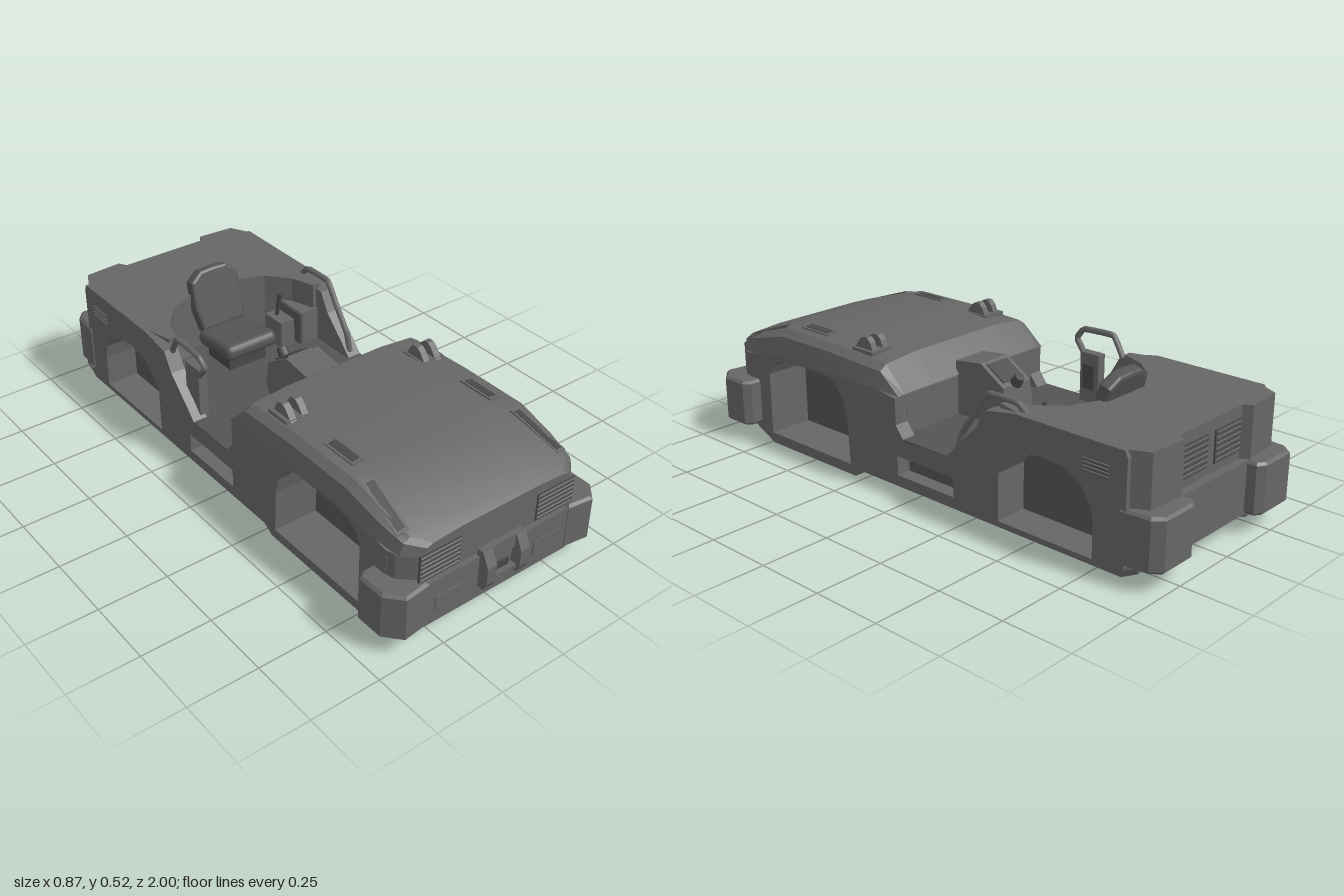
import * as THREE from 'three';
import { toCreasedNormals } from 'three/addons/utils/BufferGeometryUtils.js';
import { RoundedBoxGeometry } from 'three/addons/geometries/RoundedBoxGeometry.js';

const mat = (name, color) => Object.assign(new THREE.MeshStandardMaterial({ color }), { name });

export function createModel() {
  const model = new THREE.Group();
  model.name = 'towTractorBody';
  const paint = mat('bodyGrey', 0x666666);
  const dark = mat('recessGrey', 0x484848);
  const floorGrey = mat('floorGrey', 0x545454);
  paint.side = THREE.DoubleSide;

  // ---- helpers ----
  const add = (name, geo, m = paint) => {
    const mesh = new THREE.Mesh(geo, m);
    mesh.name = name;
    model.add(mesh);
  };
  const mirrored = (geo) => {
    const g = geo.index ? geo.toNonIndexed() : geo.clone();
    g.scale(-1, 1, 1);
    for (const a of Object.values(g.attributes)) {
      const n = a.itemSize;
      for (let i = 0; i < a.count; i += 3) {
        for (let k = 0; k < n; k++) {
          const p = (i + 1) * n + k, q = (i + 2) * n + k, t = a.array[p];
          a.array[p] = a.array[q];
          a.array[q] = t;
        }
      }
    }
    return g;
  };
  const both = (name, geo, m) => {
    add(name + 'Left', geo, m);
    add(name + 'Right', mirrored(geo), m);
  };
  const place = (geo, x, y, z, rx = 0, ry = 0, rz = 0) => geo.applyMatrix4(new THREE.Matrix4()
    .makeRotationFromEuler(new THREE.Euler(rx, ry, rz)).setPosition(x, y, z));
  // box given by its limits
  const box = (x0, x1, y0, y1, z0, z1) => new THREE.BoxGeometry(x1 - x0, y1 - y0, z1 - z0)
    .translate((x0 + x1) / 2, (y0 + y1) / 2, (z0 + z1) / 2);
  const vecs = (pts) => pts.map(([a, b]) => new THREE.Vector2(a, b));
  // side outline in (z, y), extruded from x0 to x1
  const side = (pts, x0, x1, holes = []) => {
    const s = new THREE.Shape(vecs(pts));
    s.holes = holes.map((h) => new THREE.Path(vecs(h)));
    return new THREE.ExtrudeGeometry(s, { depth: x1 - x0, bevelEnabled: false })
      .rotateY(-Math.PI / 2).translate(x1, 0, 0);
  };
  // plan outline in (x, z), extruded from y0 to y1 with an optional bevel
  const plan = (pts, y0, y1, b = 0) => new THREE.ExtrudeGeometry(
    new THREE.Shape(vecs(pts.map(([x, z]) => [x, -z]))),
    { depth: y1 - y0 - 2 * b, bevelEnabled: b > 0, bevelSize: b, bevelThickness: b, bevelOffset: -b, bevelSegments: 1 })
    .rotateX(-Math.PI / 2).translate(0, y0 + b, 0);
  const whole = (half) => [...half, ...half.filter(([x]) => x > 0).reverse().map(([x, z]) => [-x, z])];
  // slatted grille facing +z, centred on the origin
  const grille = (w, h, n) => [
    [new THREE.BoxGeometry(w, h, 0.006), dark],
    ...Array.from({ length: n }, (_, i) => [place(new THREE.BoxGeometry(w * 0.97, h / n * 0.6, 0.008),
      0, h * ((i + 0.5) / n - 0.5), 0.002, 0.35), paint]),
  ];

  // ---- side panels with wheel arches and step slot ----
  const frontArch = [[0.74, 0.04], [0.74, 0.27], [0.72, 0.305], [0.68, 0.33], [0.61, 0.342], [0.43, 0.342],
    [0.38, 0.325], [0.335, 0.265], [0.318, 0.2], [0.31, 0.04]];
  const rearArch = [[-0.385, 0.05], [-0.385, 0.215], [-0.42, 0.27], [-0.47, 0.305], [-0.55, 0.322], [-0.64, 0.315],
    [-0.71, 0.28], [-0.75, 0.225], [-0.762, 0.17], [-0.762, 0.05]];
  const slot = [[0.07, 0.07], [0.07, 0.14], [-0.19, 0.14], [-0.19, 0.07]];
  both('sidePanel', side([[0.86, 0.06], [0.74, 0.005], [0.29, 0.005], [0.25, 0.03], [-0.87, 0.03], [-0.88, 0.06],
    [-0.88, 0.41], [-0.87, 0.431], [-0.45, 0.431], [-0.33, 0.41], [-0.29, 0.34], [-0.2, 0.25], [-0.16, 0.205],
    [0.04, 0.205], [0.075, 0.25], [0.075, 0.345], [0.14, 0.36], [0.66, 0.36], [0.76, 0.345], [0.86, 0.325]],
  0.315, 0.369, [frontArch, rearArch, slot]));
  both('frontWheelWell', side([[0.86, 0.06], [0.74, 0.02], [0.29, 0.02], [0.08, 0.03], [0.08, 0.345], [0.76, 0.345], [0.86, 0.32]],
    0.2, 0.315, [frontArch]));
  both('rearWheelWell', side([[-0.35, 0.04], [-0.35, 0.335], [-0.8, 0.335], [-0.8, 0.04]], 0.24, 0.315, [rearArch]));
  both('rearWellBack', box(0.235, 0.246, 0.04, 0.33, -0.78, -0.35), floorGrey);

  // ---- underside, floor and inner hull ----
  add('underTray', side([[0.93, 0.065], [0.86, 0.06], [0.74, 0], [0.29, 0], [0.25, 0.028], [-0.87, 0.028], [-0.93, 0.06],
    [-0.93, 0.08], [-0.87, 0.048], [0.25, 0.048], [0.3, 0.038], [0.74, 0.038], [0.86, 0.08], [0.93, 0.08]], -0.366, 0.366));
  add('frontHull', box(-0.202, 0.202, 0.03, 0.34, 0.085, 0.745), floorGrey);
  add('firewall', box(-0.314, 0.314, 0.2, 0.345, 0.075, 0.09));
  add('cockpitFloor', box(-0.314, 0.314, 0.04, 0.204, -0.35, 0.085), floorGrey);
  add('doorSill', box(-0.369, 0.369, 0.2, 0.208, -0.16, 0.04), floorGrey);
  add('seatFloor', box(-0.236, 0.236, 0.04, 0.204, -0.6, -0.34), floorGrey);
  const arc = [[0, -0.58], [0.1, -0.57], [0.2, -0.53]];
  add('rearHull', plan(whole([...arc, [0.24, -0.49], [0.24, -0.8], [0, -0.8]]), 0.04, 0.34));
  const tail = [[0.358, -0.87], [0.325, -0.935], [0.185, -0.945], [0.168, -0.915], [0, -0.915]];
  add('rearDeck', plan(whole([...arc, [0.27, -0.45], [0.3, -0.36], [0.33, -0.36], [0.355, -0.45], ...tail]), 0.335, 0.431));
  add('rearBlock', plan(whole([[0, -0.77], [0.36, -0.77], ...tail]), 0.05, 0.34));

  // ---- nose and hood ----
  add('nose', plan(whole([[0, 0.74], [0.2, 0.74], [0.2, 0.85], [0.369, 0.85], [0.36, 0.89], [0.3, 0.945], [0, 0.945]]), 0.065, 0.325));
  const stations = [[0.945, 0.3, 0.322, 0.367], [0.9, 0.355, 0.322, 0.388], [0.8, 0.37, 0.335, 0.423], [0.66, 0.376, 0.36, 0.466],
    [0.4, 0.376, 0.36, 0.467], [0.15, 0.376, 0.36, 0.452], [0.07, 0.372, 0.344, 0.352]];
  const halfSection = [[1, 0], [0.965, 0.65], [0.89, 0.86], [0.53, 1]];
  const section = [...halfSection, ...halfSection.map(([a, b]) => [-a, b]).reverse()];
  const verts = [], faces = [], n = section.length;
  stations.forEach(([z, w, s, t], i) => section.forEach(([a, b], j) => {
    verts.push(a * w, s + b * (t - s), z);
    if (i && j) {
      const k = i * n + j;
      faces.push(k - n - 1, k - 1, k, k - n - 1, k, k - n);
    }
  }));
  for (let j = 1; j < n - 1; j++) faces.push(0, j, j + 1);
  const hood = new THREE.BufferGeometry();
  hood.setAttribute('position', new THREE.Float32BufferAttribute(verts, 3));
  hood.setIndex(faces);
  add('hood', toCreasedNormals(hood, 0.35));

  // hood slots
  const hoodSlot = (name, width, len, h, ...at) => {
    both(name + 'Frame', place(new THREE.BoxGeometry(width, h, len), ...at));
    both(name, place(new THREE.BoxGeometry(width - 0.018, h + 0.004, len - 0.025), ...at), dark);
  };
  hoodSlot('hoodVent', 0.046, 0.14, 0.014, 0.28, 0.456, 0.55, 0, 0, -0.12);
  hoodSlot('markerSlot', 0.044, 0.205, 0.022, 0.31, 0.407, 0.78, 0.34, 0.12, -0.25);

  // lifting lugs on the hood
  both('lugBase', box(0.235, 0.328, 0.445, 0.459, 0.225, 0.325));
  for (const x of [0.254, 0.302]) {
    both('liftingLug', side([[0.33, 0.45], [0.3, 0.49], [0.285, 0.5], [0.265, 0.5], [0.25, 0.485], [0.235, 0.45]], x - 0.012, x + 0.012));
  }

  // ---- grilles and vents ----
  for (const [g, m] of grille(0.16, 0.1, 6)) both('frontGrille', place(g, 0.238, 0.282, 0.946), m);
  for (const [g, m] of grille(0.14, 0.11, 6)) both('rearGrille', place(g, 0.09, 0.335, -0.917, 0, Math.PI), m);
  for (const [g, m] of grille(0.1, 0.05, 4)) both('sideVent', place(g, 0.368, 0.35, -0.77, 0, Math.PI / 2), m);

  // ---- bumpers ----
  both('frontBumperCorner', plan([[0.29, 0.86], [0.29, 0.965], [0.385, 0.977], [0.435, 0.92], [0.435, 0.82], [0.41, 0.8],
    [0.35, 0.8]], 0.064, 0.235, 0.009));
  add('frontBumper', box(-0.3, 0.3, 0.064, 0.226, 0.93, 0.962));
  both('bumperFrame', box(0.145, 0.262, 0.112, 0.162, 0.96, 0.966));
  both('rearBumperCorner', plan([[0.17, -0.91], [0.17, -0.98], [0.2, -1], [0.335, -1], [0.365, -0.965], [0.374, -0.86],
    [0.3, -0.85]], 0.068, 0.25, 0.009));
  add('rearBumper', box(-0.18, 0.18, 0.065, 0.25, -0.945, -0.91));

  // front tow hitch
  both('hitchCheek', side([[0.95, 0.11], [0.985, 0.11], [1, 0.14], [1, 0.2], [0.975, 0.25], [0.95, 0.25]], 0.05, 0.088));
  add('hitchTop', box(-0.05, 0.05, 0.2, 0.25, 0.95, 0.972));
  add('hitchShelf', box(-0.05, 0.05, 0.125, 0.14, 0.95, 0.985));
  add('hitchPocket', box(-0.035, 0.035, 0.14, 0.165, 0.95, 0.968), dark);

  // ---- cockpit ----
  add('steeringConsole', side([[0.085, 0.2], [0.085, 0.4], [-0.03, 0.415], [-0.135, 0.35], [-0.15, 0.25], [-0.12, 0.2]], -0.068, 0.068));
  add('consolePanel', place(new THREE.BoxGeometry(0.1, 0.008, 0.09), 0, 0.384, -0.08, -0.555), dark);
  add('consoleKnob', place(new THREE.CylinderGeometry(0.018, 0.022, 0.035, 12), 0, 0.365, -0.14, -0.6), dark);
  add('seatBase', box(-0.08, 0.08, 0.2, 0.26, -0.5, -0.36), dark);
  add('seatCushion', place(new RoundedBoxGeometry(0.22, 0.06, 0.21, 2, 0.025), 0, 0.285, -0.425, -0.08), floorGrey);
  const backOutline = whole([[0, -0.11], [0.09, -0.11], [0.105, -0.03], [0.1, 0.08], [0.055, 0.113], [0, 0.116]]);
  add('seatBack', place(new THREE.ExtrudeGeometry(new THREE.Shape(vecs(backOutline)),
    { depth: 0.026, bevelSize: 0.012, bevelThickness: 0.012, bevelOffset: -0.012, bevelSegments: 2 }),
  0, 0.397, -0.573, -0.3), floorGrey);
  add('controlBox', box(-0.335, -0.3, 0.2, 0.4, -0.25, -0.17));
  add('controlBoxCover', box(-0.301, -0.294, 0.27, 0.36, -0.235, -0.185), dark);
  add('leverBox', box(0.16, 0.22, 0.2, 0.31, -0.47, -0.37));
  add('lever', place(new THREE.CylinderGeometry(0.008, 0.008, 0.12, 8), 0.19, 0.35, -0.43, 0.2), dark);

  // grab rails
  const rail = (name, pts) => {
    const path = new THREE.CatmullRomCurve3(pts.map((p) => new THREE.Vector3(...p)), false, 'catmullrom', 0.15);
    add(name, new THREE.TubeGeometry(path, 32, 0.011, 8));
  };
  rail('grabRailRight', [[-0.325, 0.37, -0.18], [-0.335, 0.43, -0.125], [-0.342, 0.468, -0.15], [-0.342, 0.472, -0.28], [-0.335, 0.4, -0.33]]);
  rail('grabRailLeft', [[0.335, 0.22, -0.18], [0.335, 0.29, -0.2], [0.335, 0.39, -0.27], [0.338, 0.455, -0.32], [0.338, 0.455, -0.44], [0.33, 0.42, -0.47]]);

  return model;
}
